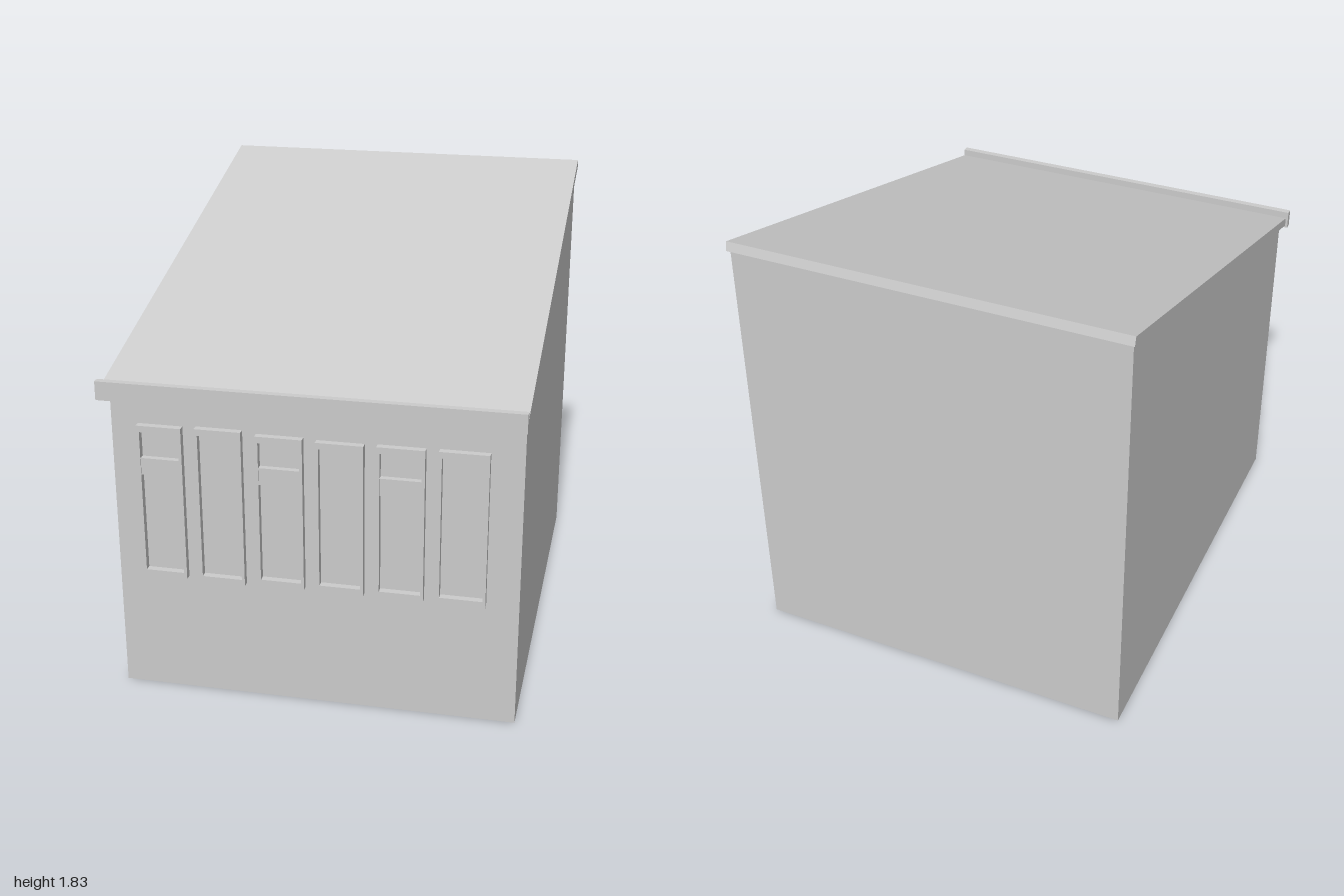
import * as THREE from 'three';

const material = new THREE.MeshStandardMaterial({ color: 0xcccccc, flatShading: true });

function addMesh(parent, name, geometry) {
  const mesh = new THREE.Mesh(geometry, material);
  mesh.name = name;
  parent.add(mesh);
  return mesh;
}

// Side profile given as [z, y] points, extruded from x0 to x1
function sideExtrude(points, x0, x1) {
  const shape = new THREE.Shape(points.map(([z, y]) => new THREE.Vector2(-z, y)));
  return new THREE.ExtrudeGeometry(shape, { depth: x1 - x0, bevelEnabled: false })
    .rotateY(Math.PI / 2)
    .translate(x0, 0, 0);
}

function box(x0, x1, y0, y1, z0, z1) {
  return new THREE.BoxGeometry(x1 - x0, y1 - y0, z1 - z0)
    .translate((x0 + x1) / 2, (y0 + y1) / 2, (z0 + z1) / 2);
}

const WALL_Z = 0.9;
const FRAME_DEPTH = 0.028;
const SIDE = 0.012;
const RAIL = 0.026;

// Rectangular frame with an open middle, standing proud of the wall
function frameGeometry(x0, x1, y0, y1) {
  const rect = (target, a, b, c, d) =>
    target.moveTo(a, c).lineTo(b, c).lineTo(b, d).lineTo(a, d).closePath();
  const shape = rect(new THREE.Shape(), x0, x1, y0, y1);
  shape.holes.push(rect(new THREE.Path(), x0 + SIDE, x1 - SIDE, y0 + RAIL, y1 - RAIL));
  return new THREE.ExtrudeGeometry(shape, { depth: FRAME_DEPTH, bevelEnabled: false })
    .translate(0, 0, WALL_Z);
}

export function createModel() {
  const model = new THREE.Group();
  model.name = 'shed';

  // Walls and floor as one solid under the sloping roof
  addMesh(model, 'walls', sideExtrude(
    [[WALL_Z, 0], [-0.987, 0], [-0.987, 1.79], [WALL_Z, 1.295]], -0.797, 0.797));

  // Sloping roof slab
  addMesh(model, 'roof', sideExtrude(
    [[0.975, 1.275], [-1, 1.79], [-0.99, 1.826], [0.975, 1.312]], -0.805, 0.808));

  // Upright board along the low roof edge
  addMesh(model, 'fascia', box(-0.815, 0.808, 1.267, 1.342, 0.972, 1));

  // Row of windows: left edge, right edge, bottom, top
  const windows = [
    [-0.69, -0.512, 0.505, 1.145],
    [-0.459, -0.276, 0.5, 1.15],
    [-0.222, -0.038, 0.51, 1.14],
    [0.012, 0.197, 0.51, 1.135],
    [0.246, 0.43, 0.51, 1.138],
    [0.48, 0.67, 0.51, 1.14],
  ];
  windows.forEach(([x0, x1, y0, y1], i) => {
    const group = new THREE.Group();
    group.name = `window${i + 1}`;
    addMesh(group, 'windowFrame', frameGeometry(x0, x1, y0, y1));
    // Every other window has a crossbar
    if (i % 2 === 0) {
      addMesh(group, 'crossbar', box(x0 + SIDE, x1 - SIDE, 0.94, 1.01, WALL_Z, WALL_Z + 0.024));
    }
    model.add(group);
  });

  return model;
}
